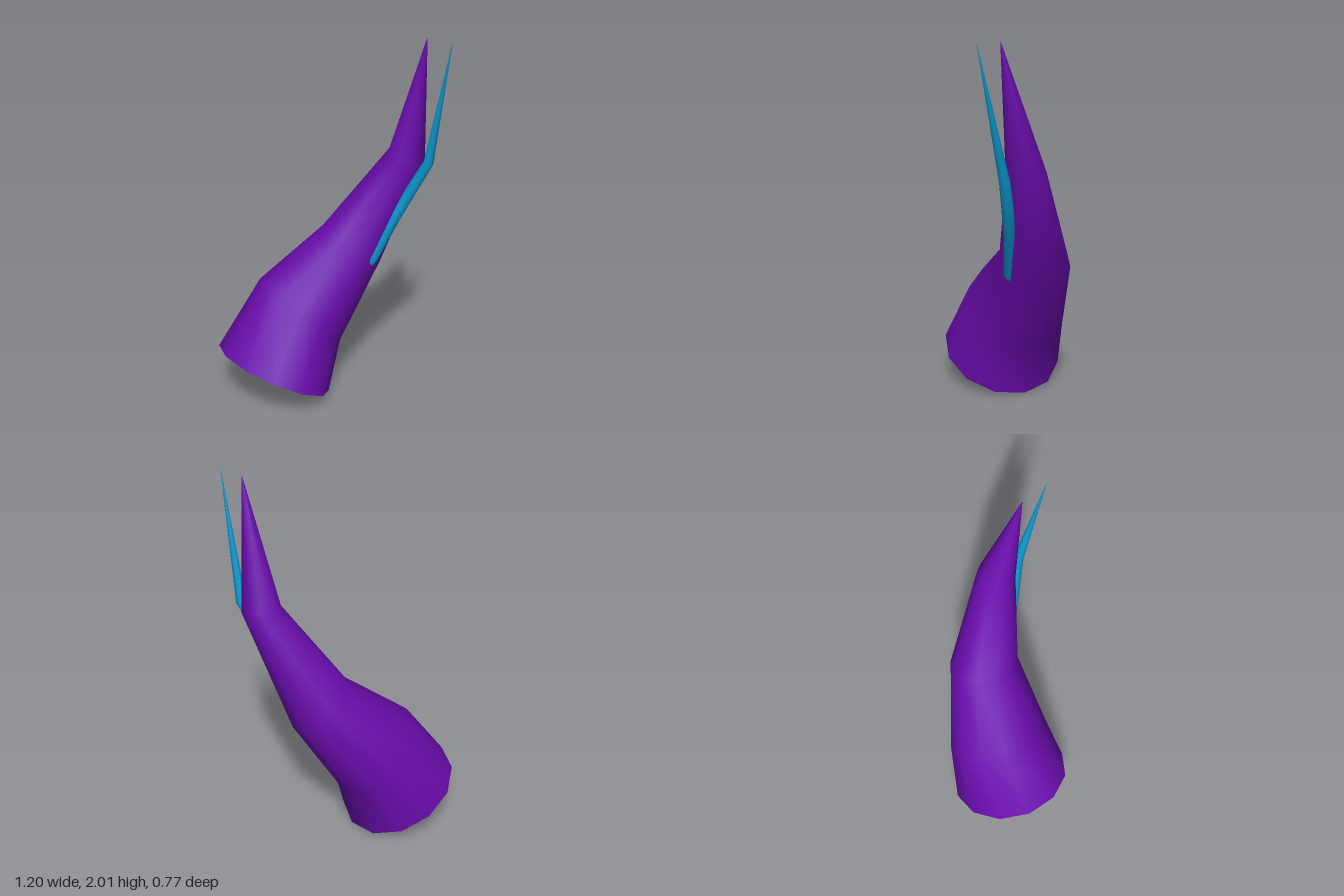
import * as THREE from 'three';

// Skin a tube through rings of the form { c: centre, n: axis direction, r: radius }
function loft(rings, sides) {
  const pos = [], index = [];
  for (const { c, n, r } of rings) {
    const axis = new THREE.Vector3(...n).normalize();
    const u = new THREE.Vector3(1, 0, 0).projectOnPlane(axis).normalize();
    const v = new THREE.Vector3().crossVectors(axis, u);
    for (let i = 0; i < sides; i++) {
      const a = ((i + 0.5) / sides) * Math.PI * 2;
      const p = new THREE.Vector3(...c)
        .addScaledVector(u, r * Math.cos(a))
        .addScaledVector(v, r * Math.sin(a));
      pos.push(p.x, p.y, p.z);
    }
  }
  for (let j = 0; j < rings.length - 1; j++) {
    for (let i = 0; i < sides; i++) {
      const k = (i + 1) % sides;
      const a = j * sides + i, b = j * sides + k;
      index.push(a, b, a + sides, b, b + sides, a + sides);
    }
  }
  const geo = new THREE.BufferGeometry();
  geo.setAttribute('position', new THREE.Float32BufferAttribute(pos, 3));
  geo.setIndex(index);
  geo.computeVertexNormals();
  return geo;
}

export function createModel() {
  const model = new THREE.Group();
  model.name = 'horn';

  const purple = new THREE.MeshStandardMaterial({ color: 0x6a0dad, side: THREE.DoubleSide });
  purple.name = 'purple';
  const blue = new THREE.MeshStandardMaterial({ color: 0x0b96cc, side: THREE.DoubleSide });
  blue.name = 'blue';

  // Main horn: open, tilted base tapering to a point
  const horn = new THREE.Mesh(loft([
    { c: [-0.3, 0.15, 0.07], n: [0.35, 0.88, -0.32], r: 0.33 },
    { c: [-0.175, 0.47, -0.045], n: [0.53, 0.72, -0.44], r: 0.277 },
    { c: [0.08, 0.82, -0.21], n: [0.5, 0.82, -0.25], r: 0.187 },
    { c: [0.365, 1.345, -0.232], n: [0.2, 0.97, 0.1], r: 0.1 },
    { c: [0.465, 2, -0.13], n: [0.15, 0.98, 0.15], r: 0.001 },
  ], 12), purple);
  horn.name = 'mainHorn';

  // Thin spike growing out of the side of the horn
  const spike = new THREE.Mesh(loft([
    { c: [0.14, 0.68, -0.13], n: [0.5, 0.8, 0], r: 0.02 },
    { c: [0.215, 0.785, -0.105], n: [0.45, 0.88, -0.05], r: 0.027 },
    { c: [0.325, 1.03, -0.142], n: [0.45, 0.88, -0.1], r: 0.033 },
    { c: [0.49, 1.335, -0.158], n: [0.3, 0.95, 0.05], r: 0.027 },
    { c: [0.596, 2, -0.055], n: [0.15, 0.98, 0.15], r: 0.001 },
  ], 12), blue);
  spike.name = 'sideSpike';

  model.add(horn, spike);
  return model;
}
